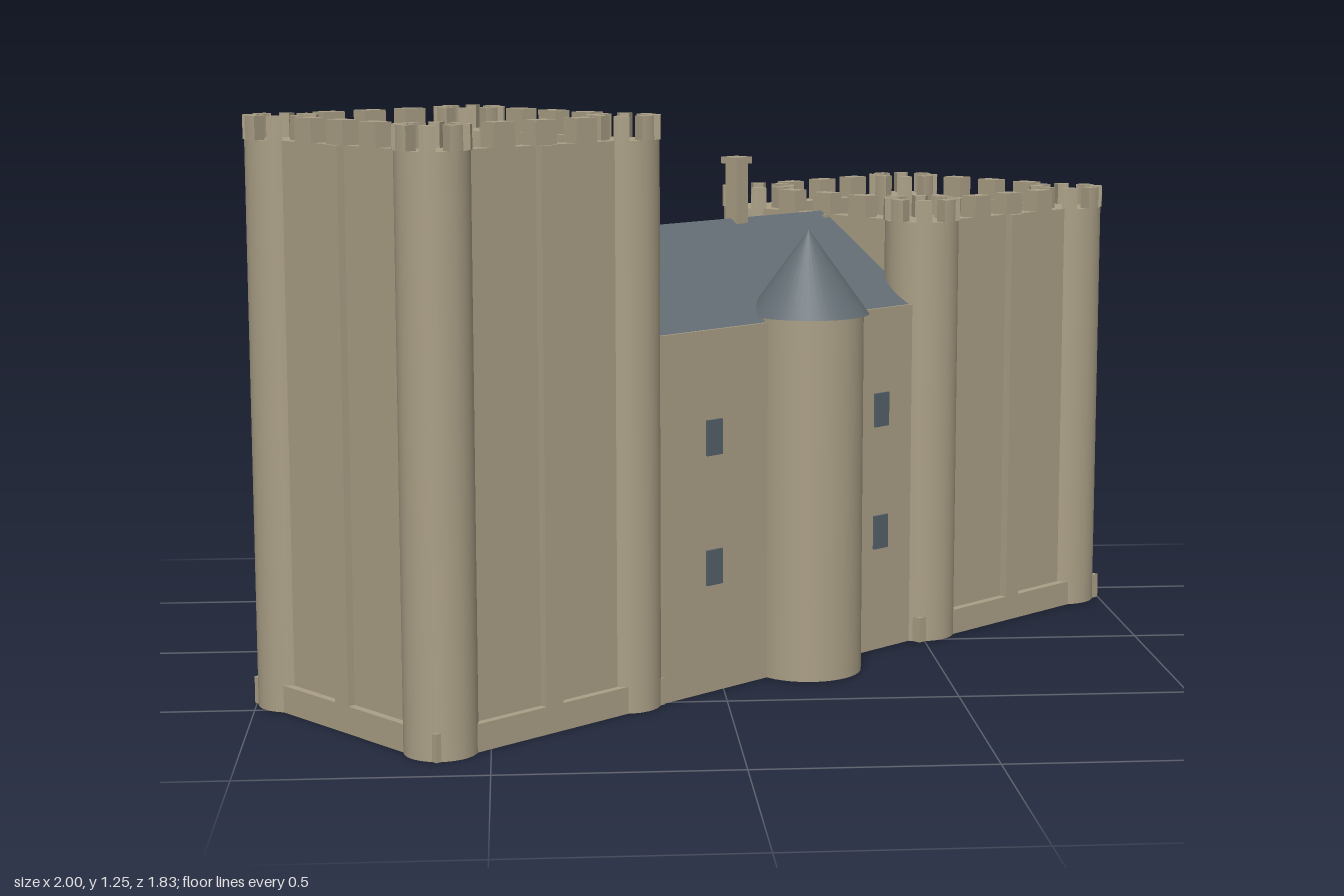
import * as THREE from 'three';

const stone = new THREE.MeshStandardMaterial({ color: 0xaa9f86 });
stone.name = 'stone';
const slate = new THREE.MeshStandardMaterial({ color: 0x626c72 });
slate.name = 'slate';
const glass = new THREE.MeshStandardMaterial({ color: 0x55606a });
glass.name = 'windowGlass';

function add(parent, name, geometry, material, x = 0, y = 0, z = 0) {
  const mesh = new THREE.Mesh(geometry, material);
  mesh.name = name;
  mesh.position.set(x, y, z);
  parent.add(mesh);
  return mesh;
}

// box standing on height y0
function block(parent, name, w, h, d, x, y0, z, material = stone) {
  return add(parent, name, new THREE.BoxGeometry(w, h, d), material, x, y0 + h / 2, z);
}

// upright cylinder or cone standing on height y0
function drum(parent, name, rTop, rBottom, h, x, y0, z, material = stone) {
  return add(parent, name, new THREE.CylinderGeometry(rTop, rBottom, h, 40), material, x, y0 + h / 2, z);
}

// curved merlon covering a sector of a ring
function arcMerlon(r, thickness, height, span) {
  const shape = new THREE.Shape();
  shape.absarc(0, 0, r, -span / 2, span / 2, false);
  shape.absarc(0, 0, r - thickness, span / 2, -span / 2, true);
  const geo = new THREE.ExtrudeGeometry(shape, { depth: height, bevelEnabled: false, curveSegments: 4 });
  return geo.rotateX(-Math.PI / 2);
}

// square keep with round corner turrets, pilasters and crenellations
function keep(name, { corner, radius, wall, plinth, top }) {
  const g = new THREE.Group();
  g.name = name;
  const merlonH = 0.05, parapetH = 0.05, thick = 0.04;
  const deckY = top - parapetH;
  block(g, 'keepBody', wall * 2, deckY, wall * 2, 0, 0, 0);
  block(g, 'plinth', plinth * 2, 0.058, plinth * 2, 0, 0, 0);

  for (let i = 0; i < 4; i++) {
    const side = new THREE.Group();
    side.name = 'keepSide';
    side.rotation.y = i * Math.PI / 2;
    g.add(side);

    // wall face: pilaster, parapet and merlons
    block(side, 'pilaster', 0.045, top, 0.05, 0, 0, plinth - 0.025);
    block(side, 'parapet', corner * 2, parapetH, thick, 0, deckY, wall - thick / 2);
    for (const k of [-1, 0, 1]) {
      block(side, 'merlon', 0.055, merlonH, thick, k * corner * 0.43, top, wall - thick / 2 + 0.006);
    }

    // corner turret with its ring of merlons
    drum(side, 'cornerTurret', radius, radius, top, corner, 0, corner);
    for (let k = 0; k < 8; k++) {
      const m = add(side, 'turretMerlon', arcMerlon(radius + 0.003, 0.03, merlonH, Math.PI / 7.5),
        stone, corner, top, corner);
      m.rotation.y = k * Math.PI / 4;
    }
  }
  return g;
}

export function createModel() {
  const model = new THREE.Group();
  model.name = 'castle';
  const castle = new THREE.Group();
  castle.name = 'castleBody';
  castle.rotation.y = THREE.MathUtils.degToRad(40);
  model.add(castle);

  // the two keeps
  const tall = keep('tallKeep', { corner: 0.25, radius: 0.075, wall: 0.292, plinth: 0.309, top: 1.2 });
  tall.position.x = -0.743;
  const low = keep('lowKeep', { corner: 0.265, radius: 0.085, wall: 0.316, plinth: 0.335, top: 0.977 });
  low.position.x = 0.689;
  castle.add(tall, low);

  // hall walls, open between them
  const frontZ = 0.305, backZ = -0.324, wallT = 0.037;
  block(castle, 'hallFrontWall', 0.85, 0.79, wallT, -0.03, 0, frontZ - wallT / 2);
  block(castle, 'hallBackWall', 0.85, 0.79, wallT, -0.03, 0, backZ + wallT / 2);

  // pitched roof
  const gable = new THREE.Shape([
    new THREE.Vector2(-0.298, 0.79), new THREE.Vector2(0.267, 0.79), new THREE.Vector2(0, 0.985),
  ]);
  const roof = new THREE.ExtrudeGeometry(gable, { depth: 0.87, bevelEnabled: false });
  roof.rotateY(Math.PI / 2);
  add(castle, 'hallRoof', roof, slate, -0.46);

  // chimney on the ridge
  block(castle, 'chimney', 0.036, 0.16, 0.036, 0.085, 0.95, 0);
  block(castle, 'chimneyCap', 0.05, 0.015, 0.05, 0.085, 1.11, 0);

  // round stair tower at the front, slim turret at the back
  drum(castle, 'stairTower', 0.122, 0.122, 0.8, 0, 0, 0.309);
  drum(castle, 'stairTowerRoof', 0, 0.134, 0.185, 0, 0.8, 0.309, slate);
  drum(castle, 'backTurret', 0.046, 0.046, 0.735, -0.046, 0, -0.335);
  drum(castle, 'backTurretRoof', 0, 0.056, 0.17, -0.046, 0.735, -0.335, slate);

  // windows in two rows
  for (const y of [0.237, 0.52]) {
    for (const k of [-3, -1, 1, 3]) {
      const x = -0.021 + k * 0.0885;
      block(castle, 'backWindow', 0.045, 0.077, 0.008, x, y, backZ - 0.002, glass);
      if (Math.abs(k) === 3) block(castle, 'frontWindow', 0.045, 0.077, 0.008, x, y, frontZ + 0.002, glass);
    }
  }
  return model;
}
